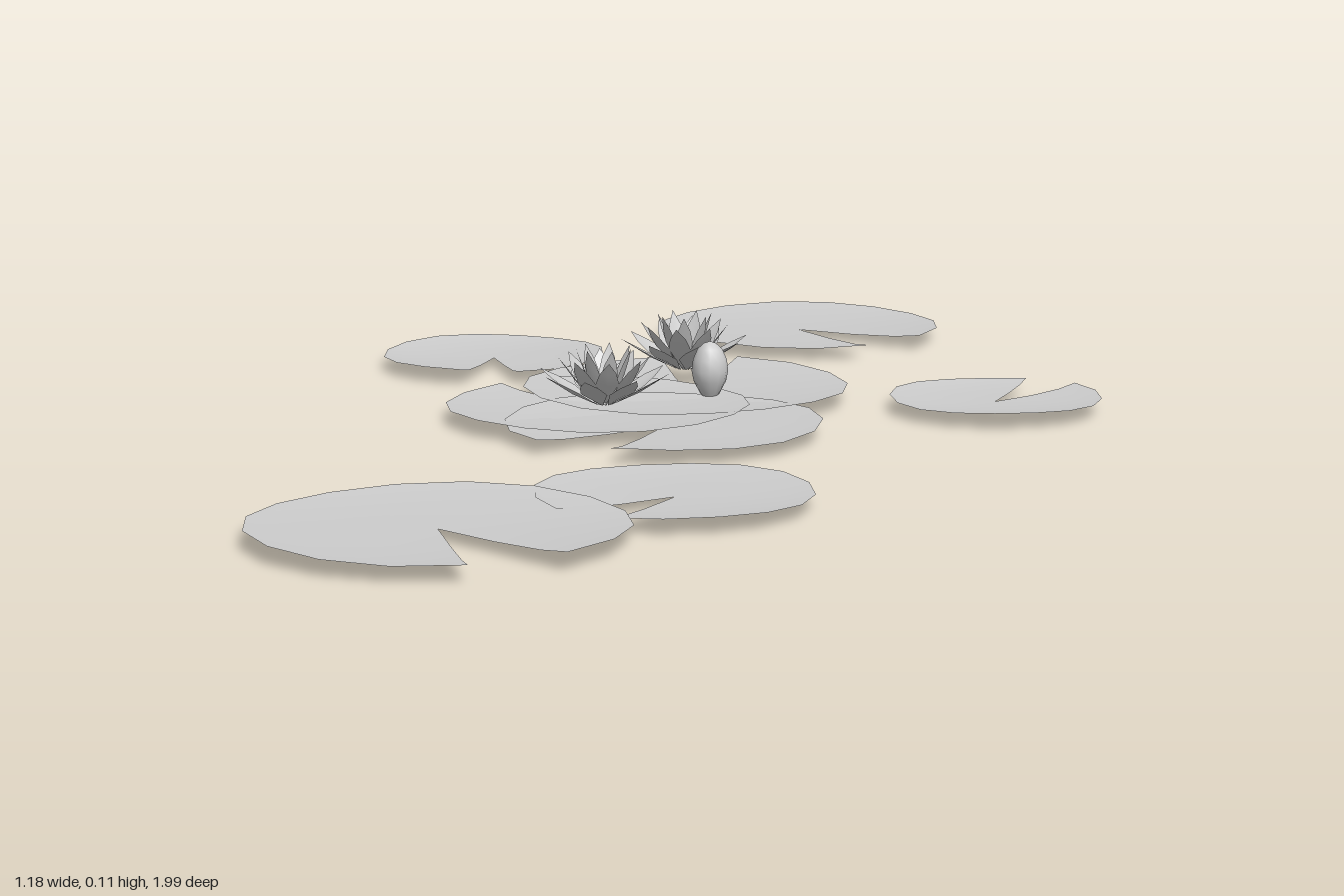
import * as THREE from 'three';

const grey = new THREE.MeshStandardMaterial({ color: 0xcccccc, side: THREE.DoubleSide });
grey.name = 'pale grey';

function surface(name, positions, index) {
  let geo = new THREE.BufferGeometry();
  geo.setAttribute('position', new THREE.Float32BufferAttribute(positions, 3));
  geo.setIndex(index);
  geo.computeVertexNormals();
  const mesh = new THREE.Mesh(geo, grey);
  mesh.name = name;
  return mesh;
}

// Shallow dished leaf with a wedge cut out between angles a0 and a1 (degrees, x towards z)
function lilyPad(x, z, r, a0, a1, lift, seed) {
  const steps = 15;
  const rings = [[0.45, 0.001], [0.8, 0.004], [1, 0.009]];
  const start = THREE.MathUtils.degToRad(a1);
  const sweep = THREE.MathUtils.degToRad(360 - (a1 - a0));
  const pos = [0, 0, 0];
  const index = [];
  const row = steps + 1;
  rings.forEach(([f, y], k) => {
    for (let i = 0; i <= steps; i++) {
      const a = start + sweep * i / steps;
      const wave = 0.002 * Math.sin(a * 3 + seed) * f * f;
      pos.push(Math.cos(a) * r * f, y + wave, Math.sin(a) * r * f);
      if (i === steps) continue;
      const p = 1 + k * row + i;
      if (k === 0) index.push(0, p + 1, p);
      else index.push(p - row, p + 1, p, p - row, p - row + 1, p + 1);
    }
  });
  const pad = surface('lilyPad', pos, index);
  pad.position.set(x, 0.012 + lift, z);
  return pad;
}

// Pointed petal: a keel running base, middle, tip, with raised side edges
function petal(width, midR, midY, tipR, tipY) {
  const w = width / 2;
  const qR = midR * 0.5 + tipR * 0.5, qY = midY * 0.5 + tipY * 0.5;
  return surface('petal', [
    0.01, 0, 0,
    midR, midY + 0.004, -w, midR, midY, 0, midR, midY + 0.004, w,
    qR, qY + 0.002, -w * 0.72, qR, qY, 0, qR, qY + 0.002, w * 0.72,
    tipR, tipY, 0,
  ], [0, 2, 1, 0, 3, 2, 1, 2, 5, 1, 5, 4, 2, 3, 6, 2, 6, 5, 4, 5, 7, 5, 6, 7]);
}

function flower(x, z, turn) {
  const group = new THREE.Group();
  group.name = 'flower';
  // count, width, middle radius and height, tip radius and height
  const tiers = [
    [8, 0.040, 0.052, 0.020, 0.098, 0.050],
    [8, 0.034, 0.040, 0.033, 0.068, 0.072],
    [7, 0.026, 0.026, 0.040, 0.042, 0.085],
  ];
  tiers.forEach(([n, ...shape], t) => {
    for (let i = 0; i < n; i++) {
      const p = petal(...shape);
      p.rotation.y = turn + (i + t * 0.5) / n * Math.PI * 2;
      group.add(p);
    }
  });
  // Stamens around the heart
  for (let i = 0; i < 8; i++) {
    const a = i / 8 * Math.PI * 2;
    const stamen = new THREE.Mesh(new THREE.ConeGeometry(0.004, 0.035, 5), grey);
    stamen.name = 'stamen';
    stamen.position.set(Math.cos(a) * 0.012, 0.02, Math.sin(a) * 0.012);
    group.add(stamen);
  }
  group.position.set(x, 0.022, z);
  return group;
}

export function createModel() {
  const model = new THREE.Group();
  model.name = 'waterLilies';

  // x, z, radius, notch from, notch to, lift
  const pads = [
    [0.172, -0.775, 0.225, 34, 63, 0],
    [-0.315, -0.51, 0.172, 76, 104, 0.001],
    [0.435, -0.125, 0.156, -68, -36, 0.001],
    [-0.02, -0.215, 0.243, -98, -70, 0.003],
    [-0.15, -0.068, 0.222, -131, -106, 0.002],
    [-0.055, 0.058, 0.228, 109, 141, 0],
    [-0.045, 0.55, 0.186, 117, 145, 0],
    [-0.345, 0.752, 0.248, 48, 79, 0.002],
  ];
  pads.forEach((p, i) => model.add(lilyPad(...p, i * 1.7)));

  model.add(flower(-0.02, -0.355, 0.2), flower(-0.14, -0.06, 0.5));

  // Closed bud on a pointed stalk end
  const profile = [[0, 0], [0.007, 0.01], [0.016, 0.024], [0.024, 0.04], [0.027, 0.055],
    [0.025, 0.072], [0.018, 0.088], [0.009, 0.096], [0, 0.099]];
  const bud = new THREE.Mesh(
    new THREE.LatheGeometry(profile.map(([r, y]) => new THREE.Vector2(r, y)), 12), grey);
  bud.name = 'bud';
  bud.position.set(0.015, 0, -0.155);
  model.add(bud);

  return model;
}
